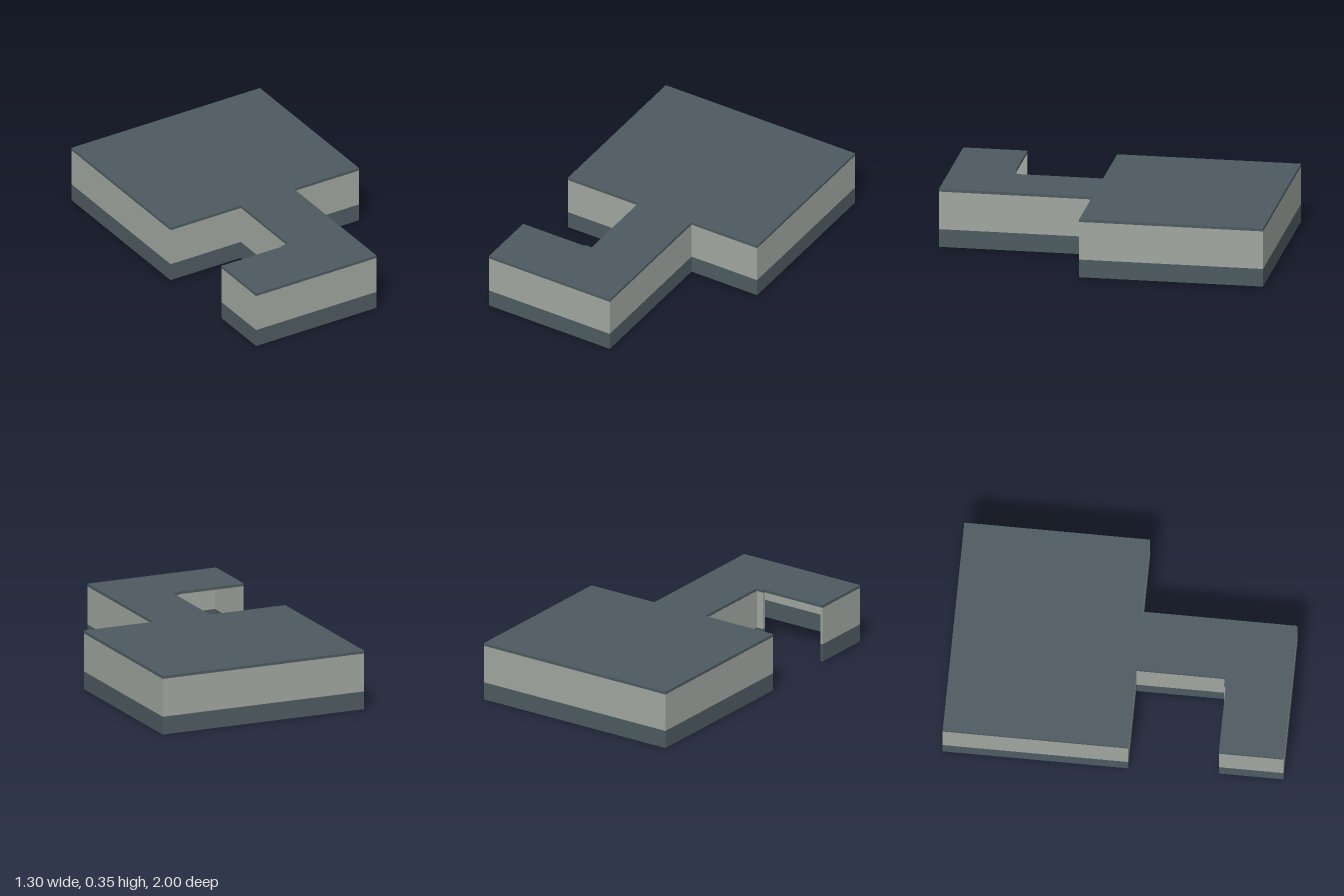
import * as THREE from 'three';

const mat = (name, color) => {
  const m = new THREE.MeshStandardMaterial({ color });
  m.name = name;
  return m;
};

export function createModel() {
  const model = new THREE.Group();
  model.name = 'roomWithCorridor';
  const slate = mat('slate', 0x4d5a60);
  const plaster = mat('plaster', 0x9fa59f);
  const shelfGrey = mat('shelf grey', 0x80807c);

  // Box given by its minimum and maximum corners
  function block(name, material, x0, x1, y0, y1, z0, z1, parent = model) {
    const mesh = new THREE.Mesh(new THREE.BoxGeometry(x1 - x0, y1 - y0, z1 - z0), material);
    mesh.position.set((x0 + x1) / 2, (y0 + y1) / 2, (z0 + z1) / 2);
    mesh.name = name;
    parent.add(mesh);
  }

  // Wall with a slate dado below and plaster above
  const DADO = 0.108, CEILING = 0.338, TOP = 0.355, T = 0.014;
  function wall(name, x0, x1, z0, z1) {
    const g = new THREE.Group();
    g.name = name;
    block(name + 'Dado', slate, x0, x1, 0, DADO, z0, z1, g);
    block(name + 'Upper', plaster, x0, x1, DADO, CEILING, z0, z1, g);
    model.add(g);
  }

  // Flat roof over the room, the corridor and the side arm
  const outline = [
    [-0.65, -1], [0.65, -1], [0.65, 0.09], [0.2, 0.09], [0.2, 1], [-0.63, 1],
    [-0.63, 0.62], [-0.21, 0.62], [-0.21, 0.61], [-0.165, 0.61], [-0.165, 0.09], [-0.65, 0.09],
  ];
  const shape = new THREE.Shape(outline.map(([x, z]) => new THREE.Vector2(x, -z)));
  const roof = new THREE.Mesh(
    new THREE.ExtrudeGeometry(shape, { depth: TOP - CEILING, bevelEnabled: false }), slate);
  roof.rotation.x = -Math.PI / 2;
  roof.position.y = CEILING;
  roof.name = 'roof';
  model.add(roof);

  // Main room
  wall('backWall', -0.65, 0.65, -1, -1 + T);
  wall('rightWall', -0.65, -0.65 + T, -1 + T, 0.09);
  wall('leftWall', 0.65 - T, 0.65, -1 + T, 0.09);
  wall('frontWallRight', -0.65 + T, -0.165, 0.09 - T, 0.09);
  wall('frontWallLeft', 0.2, 0.65 - T, 0.09 - T, 0.09);

  // Corridor and side arm, open towards the room
  wall('corridorLeftWall', 0.2 - T, 0.2, 0.09, 1);
  wall('corridorRightWall', -0.165 - 0.001, -0.165 + T, 0.09, 0.61);
  wall('armFrontWall', -0.63, 0.2 - T, 1 - T, 1);
  wall('armEndWall', -0.63, -0.63 + T, 0.62, 1 - T);
  wall('armDoorJamb', -0.21, -0.165 + T, 0.61, 0.63);

  // Partition inside the room, with doorways
  for (const [z0, z1] of [[-0.82, -0.57], [-0.37, -0.21], [-0.09, 0.075]]) {
    wall('partition', 0.2, 0.215, z0, z1);
  }

  // Bookcase against the front wall
  const bookcase = new THREE.Group();
  bookcase.name = 'bookcase';
  model.add(bookcase);
  for (const x of [0.225, 0.54]) {
    block('bookcaseSide', plaster, x, x + 0.012, 0, 0.29, -0.08, 0.075, bookcase);
  }
  for (let i = 0; i < 6; i++) {
    const y = 0.01 + i * 0.053;
    block('shelf', shelfGrey, 0.237, 0.54, y, y + 0.01, -0.07, 0.075, bookcase);
  }

  // Low bench near the front wall
  const bench = new THREE.Group();
  bench.name = 'bench';
  model.add(bench);
  block('benchTop', shelfGrey, -0.61, -0.33, 0.075, 0.087, -0.11, -0.05, bench);
  for (const x of [-0.61, -0.342]) {
    block('benchLeg', plaster, x, x + 0.012, 0, 0.075, -0.11, -0.05, bench);
  }

  // Pedestal in the back corner
  block('pedestal', slate, 0.54, 0.63, 0, 0.22, -0.93, -0.83);

  // Ceiling lamp
  const lamp = new THREE.Mesh(new THREE.CylinderGeometry(0.04, 0.04, 0.012, 20), plaster);
  lamp.position.set(-0.22, CEILING - 0.006, -0.21);
  lamp.name = 'ceilingLamp';
  model.add(lamp);

  return model;
}
